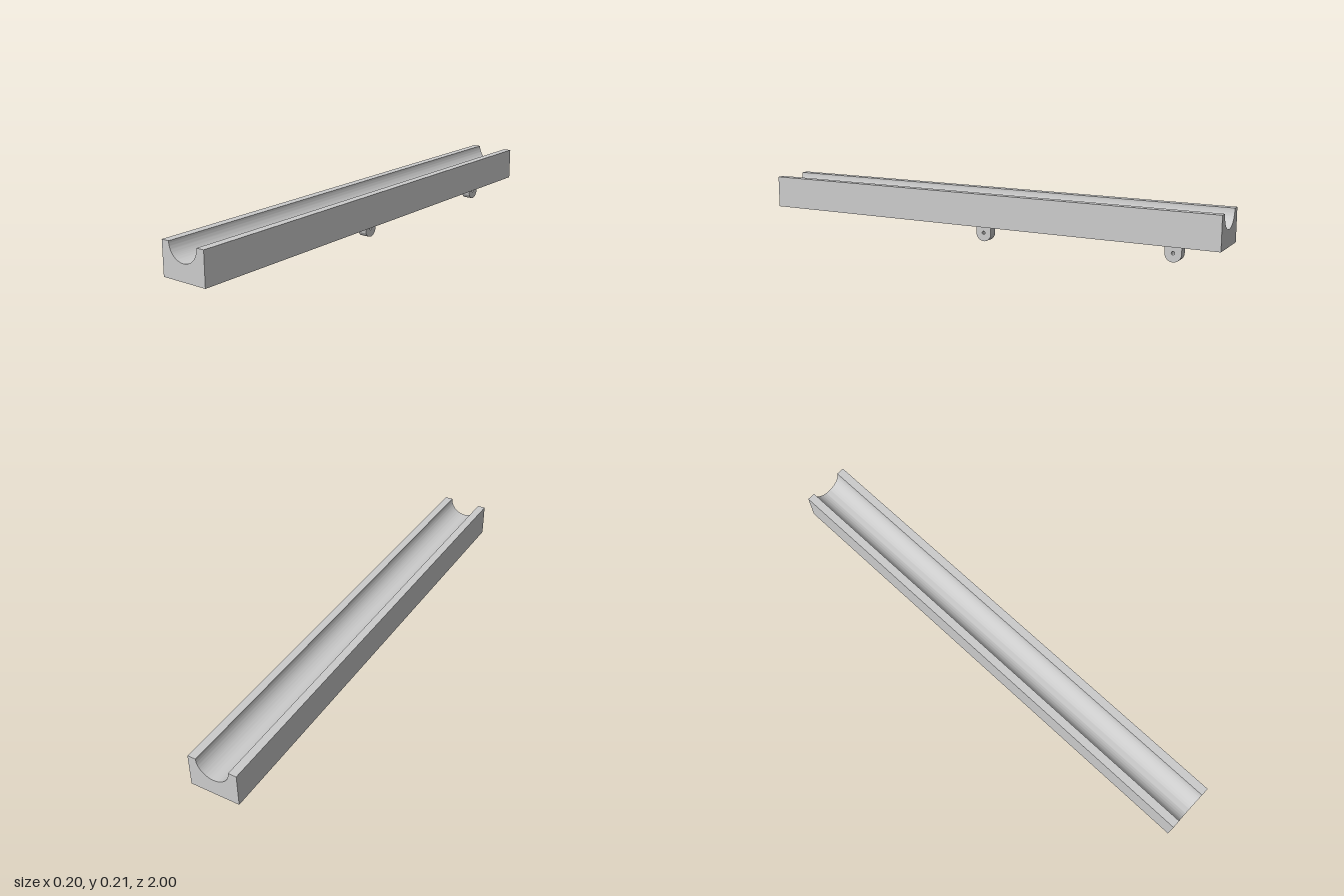
import * as THREE from 'three';
import { toCreasedNormals } from 'three/addons/utils/BufferGeometryUtils.js';

const material = new THREE.MeshStandardMaterial({ color: 0xcccccc });

// Extrudes a profile centred on its depth, smooth on curves and sharp at edges
function extrude(shape, depth) {
  const geometry = new THREE.ExtrudeGeometry(shape, { depth, bevelEnabled: false, curveSegments: 32 });
  geometry.translate(0, 0, -depth / 2);
  return toCreasedNormals(geometry, Math.PI / 5);
}

export function createModel() {
  const group = new THREE.Group();
  const add = (name, geometry, z = 0) => {
    const mesh = new THREE.Mesh(geometry, material);
    mesh.name = name;
    mesh.position.z = z;
    group.add(mesh);
  };

  // Long rail with a half-round channel along the top
  const halfWidth = 0.1, bottom = 0.075, top = 0.208, channel = 0.067;
  const rail = new THREE.Shape();
  rail.moveTo(-halfWidth, bottom);
  rail.lineTo(halfWidth, bottom);
  rail.lineTo(halfWidth, top);
  rail.lineTo(channel, top);
  rail.absarc(0, top, channel, 0, -Math.PI, true);
  rail.lineTo(-halfWidth, top);
  rail.closePath();
  add('channelRail', extrude(rail, 2));

  // Round-ended mounting lugs with a small cross hole
  const radius = 0.033;
  const lug = new THREE.Shape();
  lug.moveTo(radius, bottom);
  lug.lineTo(-radius, bottom);
  lug.absarc(0, radius, radius, Math.PI, 2 * Math.PI, false);
  lug.closePath();
  const pinHole = new THREE.Path();
  pinHole.absarc(0, radius + 0.002, 0.0067, 0, 2 * Math.PI, true);
  lug.holes.push(pinHole);
  const lugGeometry = extrude(lug, 0.038).rotateY(Math.PI / 2);
  add('middleLug', lugGeometry, 0);
  add('rearLug', lugGeometry, -0.8);

  return group;
}
